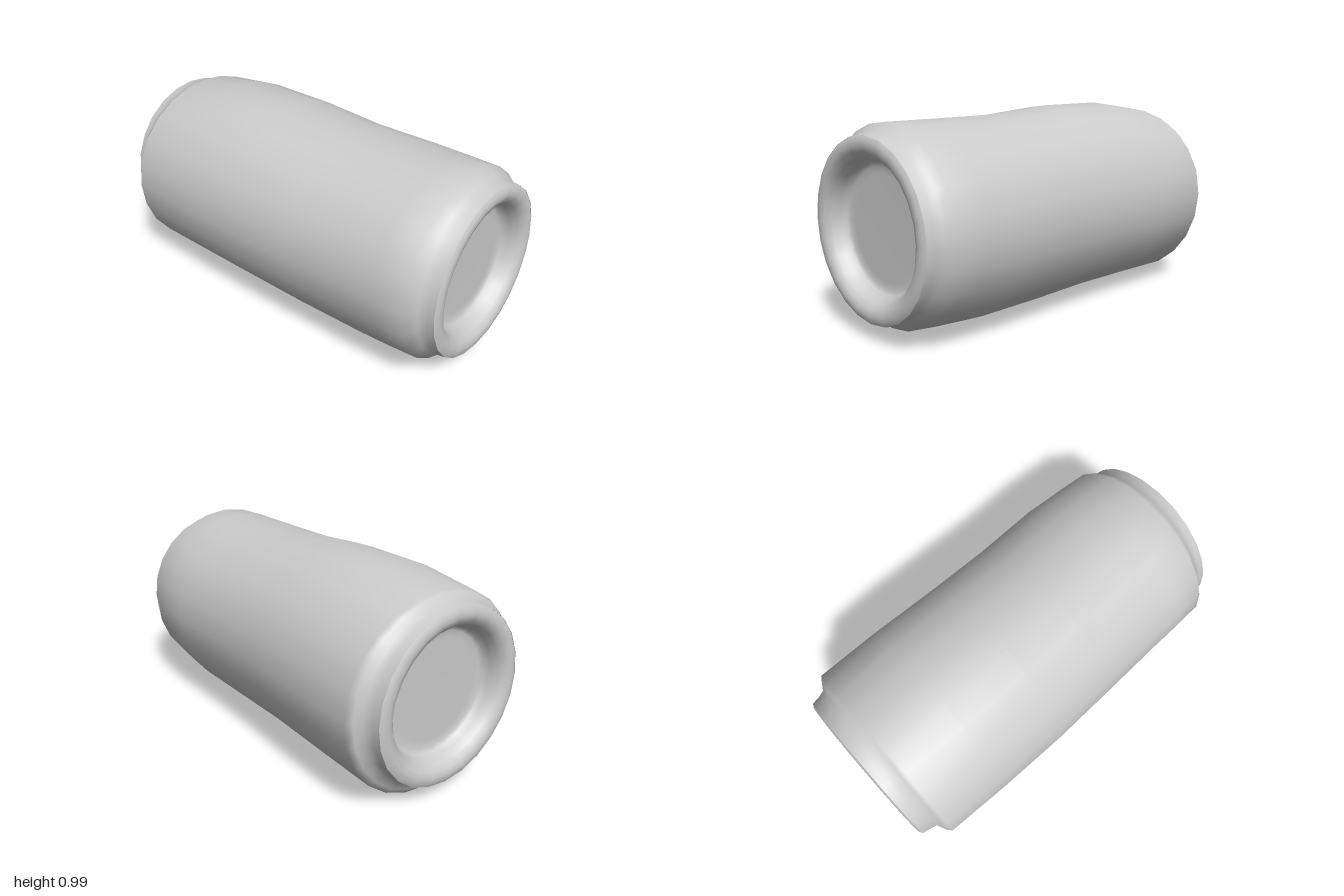
import * as THREE from 'three';

const SIDES = 24;

// Skin over rings along x; each ring is [x, top, front, bottom, back] radii, or [x, radius]
function skin(rings) {
  const pos = [], index = [];
  rings.forEach(([x, ...r], k) => {
    for (let i = 0; i < SIDES; i++) {
      const a = (i / SIDES) * Math.PI * 2, c = Math.cos(a), s = Math.sin(a);
      const [top, front, bottom, back] = r.length > 1 ? r : [r[0], r[0], r[0], r[0]];
      const radius = c * c * (c > 0 ? top : bottom) + s * s * (s > 0 ? front : back);
      pos.push(x, radius * c, radius * s);
      if (k < rings.length - 1) {
        const p = k * SIDES + i, q = k * SIDES + ((i + 1) % SIDES);
        index.push(p, q, p + SIDES, q, q + SIDES, p + SIDES);
      }
    }
  });
  const g = new THREE.BufferGeometry();
  g.setAttribute('position', new THREE.Float32BufferAttribute(pos, 3));
  g.setIndex(index);
  g.computeVertexNormals();
  return g;
}

export function createModel() {
  const material = new THREE.MeshStandardMaterial({ color: 0xcccccc, side: THREE.DoubleSide });
  const can = new THREE.Group();
  can.name = 'dentedCan';

  // Wall: necked at both ends, slightly crushed between
  const wall = new THREE.Mesh(skin([
    [-0.96, 0.413],
    [-0.925, 0.418],
    [-0.885, 0.43],
    [-0.865, 0.442, 0.478, 0.47, 0.465],
    [-0.845, 0.448, 0.499, 0.498, 0.497],
    [-0.53, 0.492, 0.511, 0.488, 0.494],
    [-0.16, 0.492, 0.515, 0.485, 0.478],
    [0.18, 0.464, 0.506, 0.492, 0.477],
    [0.53, 0.462, 0.495, 0.488, 0.486],
    [0.7, 0.462, 0.492, 0.475, 0.475],
    [0.85, 0.462, 0.486, 0.459, 0.459],
    [0.888, 0.43],
    [0.925, 0.418],
    [0.96, 0.413],
  ]), material);
  wall.name = 'wall';
  can.add(wall);

  // Ends: rounded rim dropping into a recessed flat disc
  const endGeometry = skin([
    [0.958, 0.413], [0.968, 0.395], [0.97, 0.37], [0.962, 0.345], [0.94, 0.322],
    [0.905, 0.306], [0.878, 0.295], [0.868, 0.275], [0.866, 0.24], [0.866, 0.001],
  ]);
  for (const [name, turn] of [['leftEnd', 0], ['rightEnd', Math.PI]]) {
    const end = new THREE.Mesh(endGeometry, material);
    end.name = name;
    end.rotation.y = turn;
    can.add(end);
  }

  // Lying on its side, turned a little
  can.rotation.y = -0.088;
  can.position.set(-0.003, 0.501, 0);
  const model = new THREE.Group();
  model.add(can);
  return model;
}
